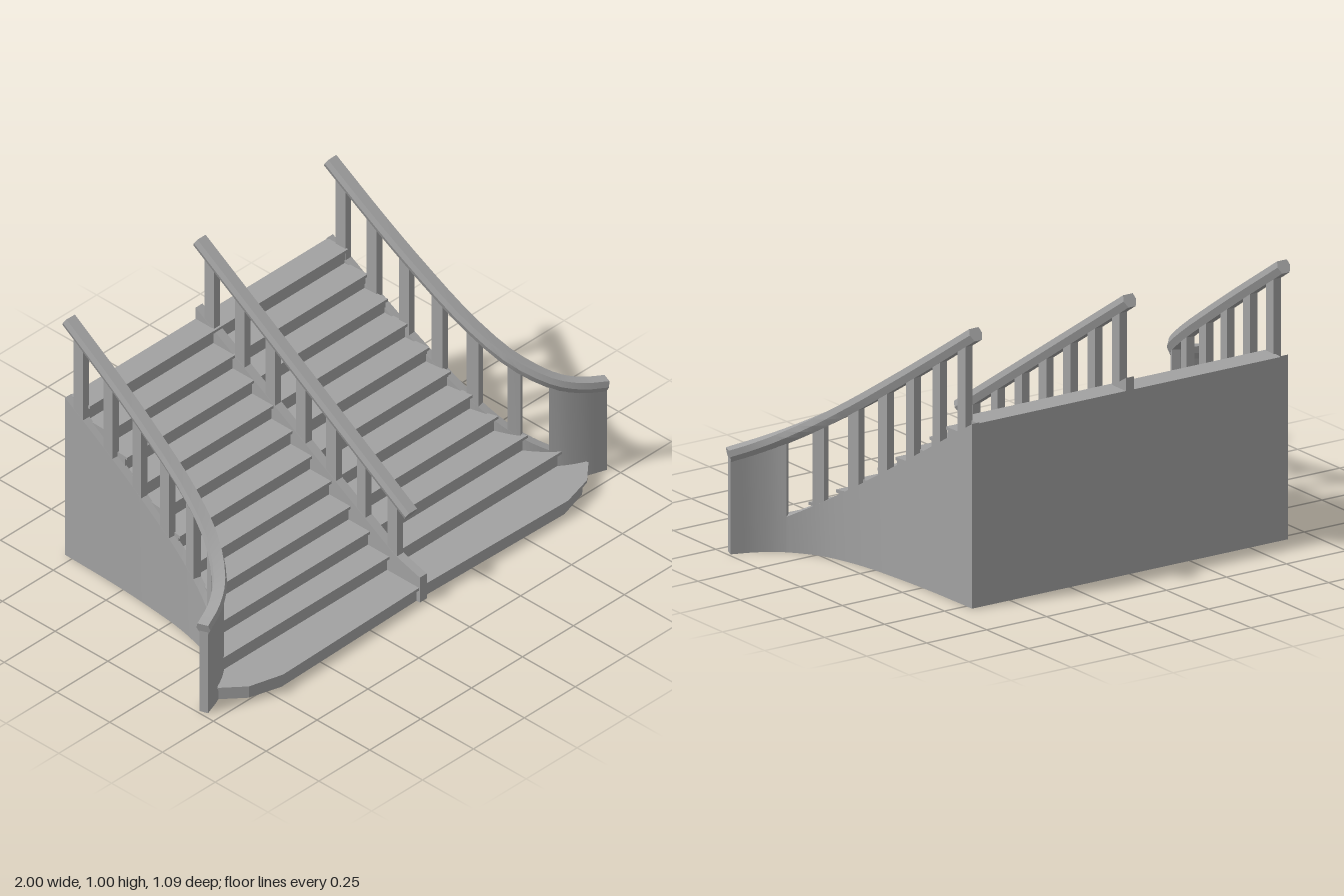
import * as THREE from 'three';
import { toCreasedNormals } from 'three/addons/utils/BufferGeometryUtils.js';

const BACK = -0.533;
const SLOPE = 0.647;
const material = new THREE.MeshStandardMaterial({ color: 0xa2a2a2 });

// Plan lines: the flaring side wall (right half, x > 0) and the straight centre line
const sideLine = new THREE.CatmullRomCurve3(
  [[0.642, BACK], [0.648, -0.3], [0.66, -0.12], [0.685, 0.08], [0.735, 0.24],
    [0.82, 0.355], [0.9, 0.408], [0.988, 0.441]].map(([x, z]) => new THREE.Vector3(x, 0, z)));
const centreLine = new THREE.LineCurve3(new THREE.Vector3(0, 0, BACK), new THREE.Vector3(0, 0, 0.53));

const railY = z => 0.638 - SLOPE * z;
const sideStringerY = z => 0.338 - 0.61 * z;
const centreStringerY = z => Math.max(0.387 - 0.6 * z, 0.105 + (0.53 - z) * 0.3);

// Curve parameter at a given z
function paramAt(line, z) {
  let a = 0, b = 1;
  for (let i = 0; i < 30; i++) {
    const m = (a + b) / 2;
    if (line.getPoint(m).z < z) a = m; else b = m;
  }
  return (a + b) / 2;
}

// Points and sideways directions along a line between two z values
function stations(line, z0, z1, n) {
  const a = paramAt(line, z0), b = paramAt(line, z1);
  return Array.from({ length: n + 1 }, (_, i) => {
    const t = a + (b - a) * i / n;
    const p = line.getPoint(t), tan = line.getTangent(t);
    return { p, tan, side: new THREE.Vector3(tan.z, 0, -tan.x) };
  });
}

// Closed solid through a row of matching rings; mirror flips it to -x
function loft(name, rings, mirror) {
  if (mirror) rings = rings.map(r => r.map(v => new THREE.Vector3(-v.x, v.y, v.z)).reverse());
  const pos = [], n = rings[0].length;
  const tri = (...vs) => vs.forEach(v => pos.push(v.x, v.y, v.z));
  for (let i = 0; i < rings.length - 1; i++) {
    for (let j = 0; j < n; j++) {
      const k = (j + 1) % n, r = rings[i], q = rings[i + 1];
      tri(r[j], r[k], q[k]);
      tri(r[j], q[k], q[j]);
    }
  }
  const first = rings[0], last = rings[rings.length - 1];
  for (let j = 1; j < n - 1; j++) {
    tri(first[0], first[j + 1], first[j]);
    tri(last[0], last[j], last[j + 1]);
  }
  const geo = new THREE.BufferGeometry();
  geo.setAttribute('position', new THREE.Float32BufferAttribute(pos, 3));
  return makeMesh(name, toCreasedNormals(geo, 0.6));
}

function makeMesh(name, geo) {
  const mesh = new THREE.Mesh(geo, material);
  mesh.name = name;
  return mesh;
}

// Upright wall following a line, between two heights given as functions of z
function wall(name, line, z0, z1, n, thick, bottom, top, mirror) {
  const h = thick / 2;
  const rings = stations(line, z0, z1, n).map(({ p, side }) =>
    [[-h, bottom], [h, bottom], [h, top], [-h, top]].map(([s, y]) => {
      const v = p.clone().addScaledVector(side, s);
      v.y = y(p.z);
      return v;
    }));
  return loft(name, rings, mirror);
}

// Six-sided handrail with a broad flat top
const railProfile = [[-0.015, -0.024], [0.015, -0.024], [0.026, 0], [0.02, 0.022], [-0.02, 0.022], [-0.026, 0]];

function rail(line, z0, z1, n, mirror) {
  const rings = stations(line, z0, z1, n).map(({ p, tan, side }) => {
    const dir = new THREE.Vector3(tan.x, -SLOPE * tan.z, tan.z).normalize();
    const up = dir.clone().cross(side);
    return railProfile.map(([s, u]) => {
      const v = p.clone().addScaledVector(side, s).addScaledVector(up, u);
      v.y += railY(p.z);
      return v;
    });
  });
  return loft('handrail', rings, mirror);
}

// Horizontal slab from a half outline [x, z], running back to front
function slab(name, half, y0, y1) {
  const outline = [...half, ...half.filter(([x]) => x > 0).reverse().map(([x, z]) => [-x, z])];
  const shape = new THREE.Shape(outline.map(([x, z]) => new THREE.Vector2(x, -z)));
  const geo = new THREE.ExtrudeGeometry(shape, { depth: y1 - y0, bevelEnabled: false });
  geo.rotateX(-Math.PI / 2).translate(0, y0, 0);
  return makeMesh(name, geo);
}

// Step outline just inside the side wall
const wallOutline = z => stations(sideLine, BACK, z, 14).map(({ p, side }) => [p.x - 0.01 * side.x, p.z]);

function createSteps() {
  const steps = new THREE.Group();
  steps.name = 'steps';
  const rise = 0.06, run = 0.0915, nose = 0.011;

  // Wide bottom step with clipped corners
  const bottom = d => [...wallOutline(0.4),
    [0.91 - d, 0.435 - d], [0.83 - d, 0.505 - d], [0.7 - d / 2, 0.541 - d], [0, 0.526 - d]];
  steps.add(slab('bottomRiser', bottom(0.012), 0, rise - nose));
  steps.add(slab('bottomTread', bottom(0), rise - nose, rise));

  for (let i = 2; i <= 11; i++) {
    const z = 0.385 - run * (i - 2), y = rise * i;
    steps.add(slab('riser', wallOutline(z - 0.01), y - rise, y - nose));
    steps.add(slab('tread', wallOutline(z), y - nose, y));
  }
  return steps;
}

// Baluster spans along z, shared by all three railings
const balusters = [[0.23, 0.27], [0.084, 0.13], [-0.06, -0.013], [-0.203, -0.158], [-0.348, -0.303], [-0.493, -0.447]];

function createSide(mirror) {
  const side = new THREE.Group();
  side.name = mirror ? 'rightSide' : 'leftSide';
  const ground = () => 0;
  side.add(wall('stringer', sideLine, BACK, 0.345, 24, 0.032, ground, sideStringerY, mirror));
  side.add(wall('endPanel', sideLine, 0.345, 0.44, 8, 0.032, ground, railY, mirror));
  for (const [a, b] of balusters) {
    side.add(wall('baluster', sideLine, a, b, 2, 0.03, z => sideStringerY(z) - 0.02, railY, mirror));
  }
  side.add(rail(sideLine, BACK, 0.441, 20, mirror));
  return side;
}

function createCentre() {
  const centre = new THREE.Group();
  centre.name = 'centreRailing';
  centre.add(wall('centreStringer', centreLine, BACK, 0.53, 40, 0.034, () => 0, centreStringerY));
  for (const [a, b] of [[0.375, 0.42], ...balusters]) {
    centre.add(wall('centreBaluster', centreLine, a, b, 1, 0.03, z => centreStringerY(z) - 0.02, railY));
  }
  centre.add(rail(centreLine, BACK, 0.47, 1));
  return centre;
}

export function createModel() {
  const model = new THREE.Group();
  model.name = 'staircase';
  model.add(createSteps(), createSide(false), createSide(true), createCentre());
  return model;
}
